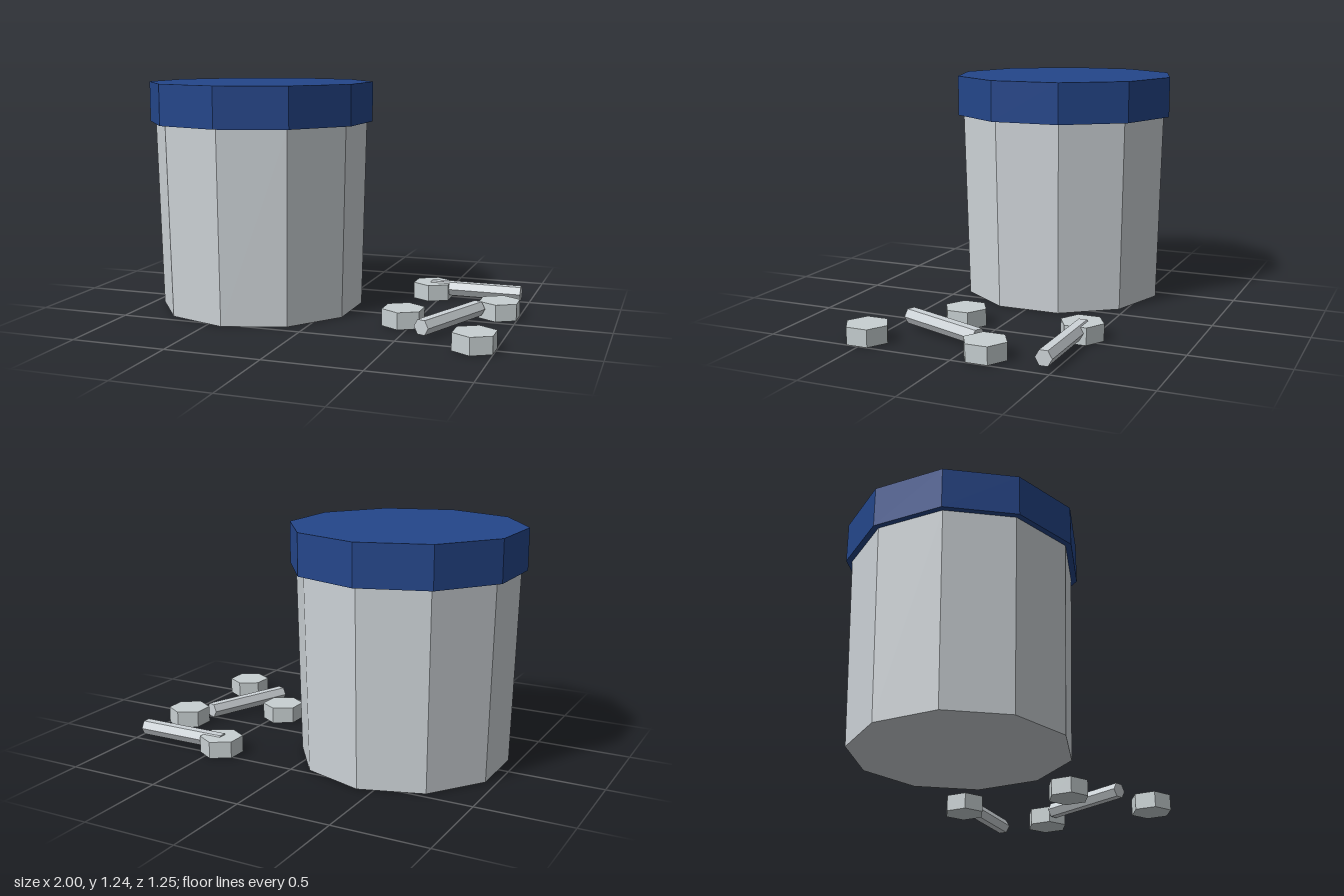
import * as THREE from 'three';

export function createModel() {
  const model = new THREE.Group();
  model.name = 'jarWithHardware';

  const material = (name, color) => {
    const m = new THREE.MeshStandardMaterial({ color, flatShading: true });
    m.name = name;
    return m;
  };
  const lidBlue = material('lid blue', 0x24468a);
  const paleSteel = material('pale steel', 0xced4d8);
  const nutSteel = material('nut steel', 0xc8d0d2);

  const add = (name, geometry, mat, x, y, z, turn = 0) => {
    const mesh = new THREE.Mesh(geometry, mat);
    mesh.name = name;
    mesh.position.set(x, y, z);
    mesh.rotation.y = turn;
    model.add(mesh);
  };

  // Ten-sided jar, widening slightly towards its overhanging lid
  const jarX = -0.418, jarZ = -0.016;
  add('jarBody', new THREE.CylinderGeometry(0.581, 0.555, 1.02, 10), paleSteel, jarX, 0.51, jarZ);
  add('jarLid', new THREE.CylinderGeometry(0.612, 0.612, 0.217, 10), lidBlue, jarX, 1.1285, jarZ);

  // Hexagonal nuts lying flat
  const nut = new THREE.CylinderGeometry(0.115, 0.115, 0.09, 6);
  [[0.457, -0.456], [0.899, -0.135], [0.457, 0.186], [0.899, 0.509]].forEach(([x, z], i) =>
    add(`nut${i + 1}`, nut, nutSteel, x, 0.045, z));

  // Hexagonal rods lying on a flat side; the first runs into a nut
  const rod = new THREE.CylinderGeometry(0.0435, 0.0435, 0.511, 6).rotateZ(Math.PI / 2);
  add('rod1', rod, paleSteel, 0.705, 0.06, -0.456);
  add('rod2', rod, paleSteel, 0.707, 0.06, 0.186, 1.197);

  return model;
}
